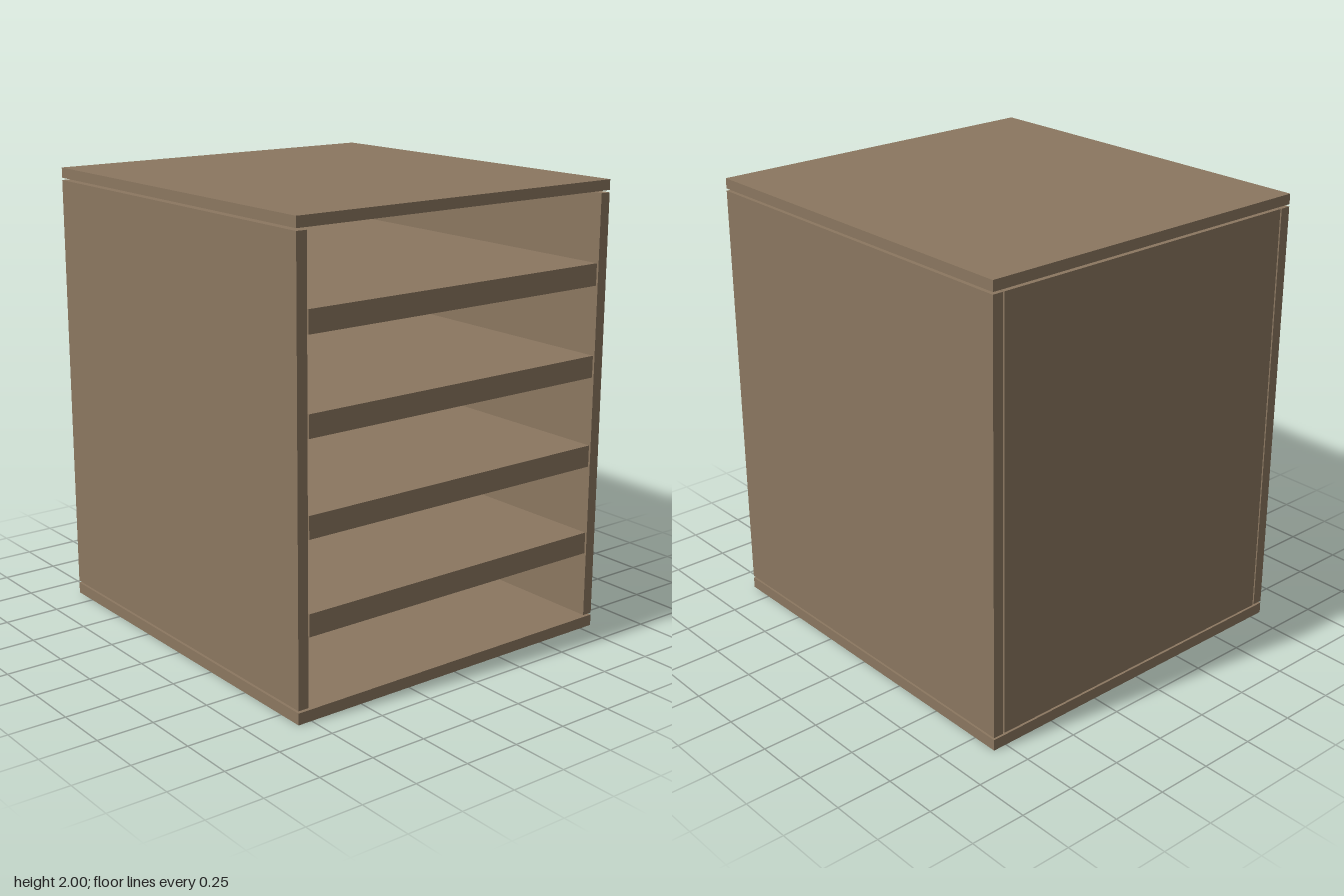
import * as THREE from 'three';

export function createModel() {
  const cabinet = new THREE.Group();
  cabinet.name = 'openCabinet';
  const wood = new THREE.MeshStandardMaterial({ color: 0x8b7760 });
  wood.name = 'brown wood';

  // Box given by its lower and upper bounds on each axis
  const board = (name, [x0, x1], [y0, y1], [z0, z1]) => {
    const mesh = new THREE.Mesh(new THREE.BoxGeometry(x1 - x0, y1 - y0, z1 - z0), wood);
    mesh.name = name;
    mesh.position.set((x0 + x1) / 2, (y0 + y1) / 2, (z0 + z1) / 2);
    cabinet.add(mesh);
  };

  const width = [-0.868, 0.868];
  const depth = [-0.813, 0.813];
  const wall = [0.06, 1.945]; // walls stop just short of the top and base
  const inner = [-0.757, 0.757];

  // Top and base
  board('basePanel', width, [0, 0.05], depth);
  board('topPanel', width, [1.955, 2], depth);

  // Two full-width walls and the inset closing panel
  board('frontPanel', width, wall, [0.765, 0.813]);
  board('backPanel', width, wall, [-0.813, -0.765]);
  board('closedSidePanel', [-0.868, -0.82], wall, inner);

  // Thick shelves, flush with the open side
  for (let i = 0; i < 4; i++) {
    const y = 0.355 + i * 0.4;
    board(`shelf${i + 1}`, [-0.81, 0.866], [y, y + 0.096], inner);
  }
  return cabinet;
}
